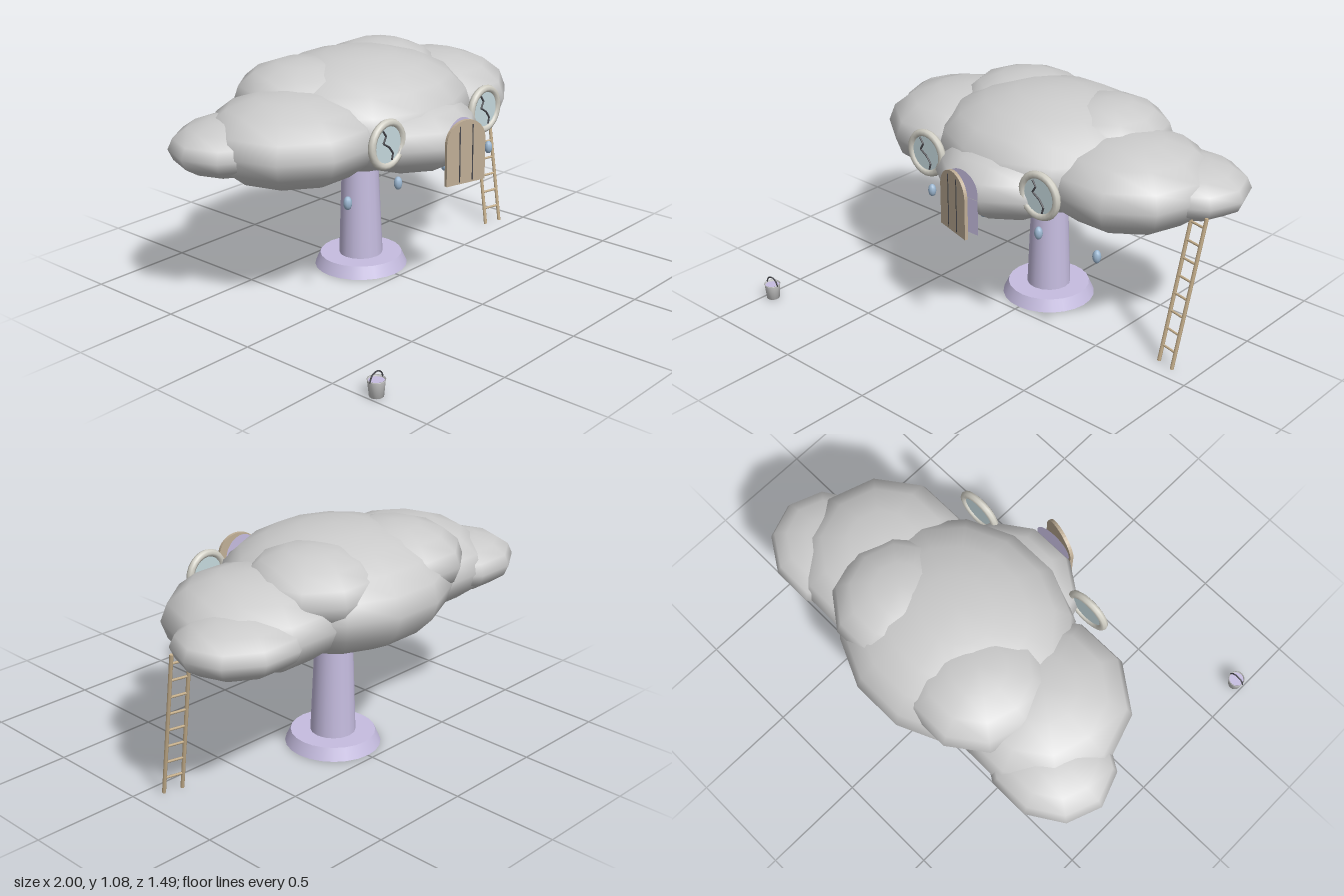
import * as THREE from 'three';

const paint = (color) => new THREE.MeshStandardMaterial({ color, side: THREE.DoubleSide });
const grey = paint(0xcccccc);
const lavender = paint(0xc6bde0);
const wood = paint(0xbfae96);
const rail = paint(0xc9b28e);
const dark = paint(0x4a4a50);
const glass = paint(0xc6dade);
const trim = paint(0xd2d0c6);
const water = paint(0x9db8d2);

function add(parent, name, geometry, material, x = 0, y = 0, z = 0) {
  const mesh = new THREE.Mesh(geometry, material);
  mesh.name = name;
  mesh.position.set(x, y, z);
  parent.add(mesh);
  return mesh;
}

// Round bar between two points
function bar(parent, name, a, b, radius, material) {
  const dir = b.clone().sub(a);
  const mesh = add(parent, name, new THREE.CylinderGeometry(radius, radius, dir.length(), 6), material);
  mesh.position.copy(a).add(b).multiplyScalar(0.5);
  mesh.quaternion.setFromUnitVectors(new THREE.Vector3(0, 1, 0), dir.normalize());
  return mesh;
}

// Arched outline starting at the lower left corner
function archShape(width, height, rise) {
  const shape = new THREE.Shape();
  shape.moveTo(0, 0);
  shape.lineTo(width, 0);
  shape.lineTo(width, height - rise);
  shape.absellipse(width / 2, height - rise, width / 2, rise, 0, Math.PI, false, 0);
  shape.closePath();
  return shape;
}

function makeCloud() {
  const cloud = new THREE.Group();
  cloud.name = 'cloud';
  // name, centre, radii, segments
  const puffs = [
    ['mainPuff', [0, 0.8, -0.25], [0.55, 0.275, 0.51], 14],
    ['frontPuff', [0, 0.74, 0.035], [0.35, 0.18, 0.34], 10],
    ['rightSidePuff', [-0.49, 0.77, -0.22], [0.4, 0.21, 0.405], 10],
    ['leftSidePuff', [0.49, 0.77, -0.235], [0.395, 0.21, 0.395], 10],
    ['rightBackPuff', [-0.25, 0.88, -0.366], [0.328, 0.18, 0.33], 10],
    ['leftBackPuff', [0.25, 0.88, -0.35], [0.313, 0.18, 0.315], 10],
    ['rightOuterPuff', [-0.69, 0.76, -0.37], [0.31, 0.13, 0.27], 10],
    ['leftOuterPuff', [0.69, 0.76, -0.37], [0.31, 0.13, 0.27], 10],
  ];
  for (const [name, centre, radii, segments] of puffs) {
    const puff = add(cloud, name, new THREE.SphereGeometry(1, segments, segments === 14 ? 10 : 8), grey, ...centre);
    puff.scale.set(...radii);
  }
  return cloud;
}

function makeWindow(x) {
  const group = new THREE.Group();
  group.name = 'roundWindow';
  add(group, 'windowRing', new THREE.TorusGeometry(0.098, 0.018, 8, 24), trim);
  const pane = add(group, 'windowPane', new THREE.CylinderGeometry(0.092, 0.092, 0.012, 24), glass);
  pane.rotation.x = Math.PI / 2;
  // Zigzag crack in the pane
  const crack = [[-0.035, 0.07], [-0.015, 0.042], [-0.033, 0.012], [0.005, -0.012], [0.03, -0.045], [0.022, -0.075]]
    .map(([px, py]) => new THREE.Vector3(px, py, 0.008));
  for (let i = 1; i < crack.length; i++) bar(group, 'paneCrack', crack[i - 1], crack[i], 0.0045, dark);
  group.position.set(x, 0.797, 0.225);
  return group;
}

function makeDoor() {
  const group = new THREE.Group();
  group.name = 'doorway';
  add(group, 'doorOpening', new THREE.ShapeGeometry(archShape(0.2, 0.295, 0.1)), lavender, -0.1, 0.57, 0.358);
  // Leaf standing ajar on its hinge
  const leaf = new THREE.Group();
  leaf.name = 'doorLeaf';
  leaf.position.set(-0.11, 0.57, 0.358);
  leaf.rotation.y = -0.27;
  add(leaf, 'doorPanel', new THREE.ExtrudeGeometry(archShape(0.21, 0.295, 0.1), { depth: 0.016, bevelEnabled: false, curveSegments: 10 }), wood);
  for (const x of [0.07, 0.14]) add(leaf, 'plankGroove', new THREE.BoxGeometry(0.005, 0.26, 0.004), dark, x, 0.14, 0.016);
  group.add(leaf);
  return group;
}

function makeLadder() {
  const ladder = new THREE.Group();
  ladder.name = 'ladder';
  const lower = [new THREE.Vector3(0.795, 0, -0.092), new THREE.Vector3(0.882, 0, -0.07)];
  const upper = [new THREE.Vector3(0.84, 0.72, -0.225), new THREE.Vector3(0.925, 0.72, -0.208)];
  for (const i of [0, 1]) bar(ladder, 'ladderRail', lower[i], upper[i], 0.009, rail);
  for (let i = 0; i < 8; i++) {
    const t = (0.08 + i * 0.085) / 0.72;
    bar(ladder, 'ladderRung', lower[0].clone().lerp(upper[0], t), lower[1].clone().lerp(upper[1], t), 0.006, rail);
  }
  return ladder;
}

function makeBucket() {
  const bucket = new THREE.Group();
  bucket.name = 'bucket';
  const profile = [[0, 0], [0.031, 0], [0.038, 0.072], [0.04, 0.075], [0.036, 0.075], [0.034, 0.06]];
  add(bucket, 'bucketBody', new THREE.LatheGeometry(profile.map(([r, y]) => new THREE.Vector2(r, y)), 16), grey);
  const fill = add(bucket, 'bucketContents', new THREE.CircleGeometry(0.036, 16), lavender, 0, 0.068, 0);
  fill.rotation.x = -Math.PI / 2;
  add(bucket, 'bucketHandle', new THREE.TorusGeometry(0.038, 0.0035, 6, 14, Math.PI), dark, 0, 0.07, 0);
  bucket.position.set(-0.96, 0, 0.705);
  return bucket;
}

export function createModel() {
  const model = new THREE.Group();
  model.name = 'cloudHouse';

  // Pedestal
  add(model, 'pedestalBase', new THREE.CylinderGeometry(0.198, 0.224, 0.058, 24), lavender, 0, 0.029, -0.25);
  add(model, 'pedestalColumn', new THREE.CylinderGeometry(0.084, 0.106, 0.56, 16), lavender, 0, 0.33, -0.25);

  model.add(makeCloud(), makeWindow(-0.345), makeWindow(0.343), makeDoor(), makeLadder(), makeBucket());

  // Row of falling drops
  for (let i = 0; i < 4; i++) {
    const drop = add(model, 'rainDrop', new THREE.SphereGeometry(0.02, 10, 8), water, -0.455 + i * 0.339, 0.523, 0.09);
    drop.scale.y = 1.6;
  }
  return model;
}
